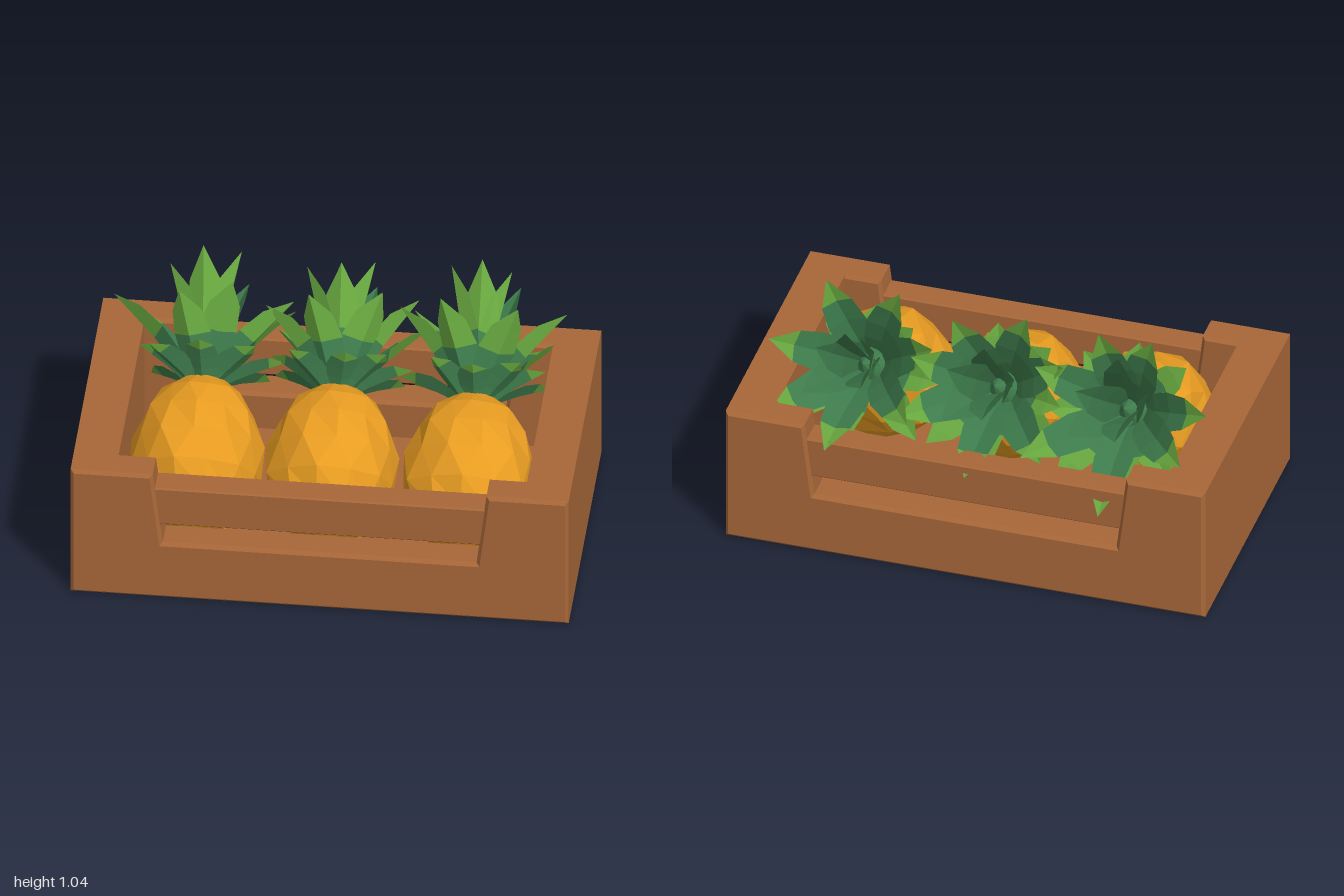
import * as THREE from 'three';

const wood = new THREE.MeshStandardMaterial({ color: 0xa76738 });
wood.name = 'brown wood';
const rind = new THREE.MeshStandardMaterial({ color: 0xec9f22 });
rind.name = 'golden rind';
const darkLeaf = new THREE.MeshStandardMaterial({ color: 0x3e7c4c });
darkLeaf.name = 'dark leaf green';
const lightLeaf = new THREE.MeshStandardMaterial({ color: 0x66a53e });
lightLeaf.name = 'light leaf green';

function add(parent, name, geometry, material, x = 0, y = 0, z = 0) {
  const mesh = new THREE.Mesh(geometry, material);
  mesh.name = name;
  mesh.position.set(x, y, z);
  parent.add(mesh);
  return mesh;
}

// Unshared corners give every facet its own flat normal
function facets(points) {
  const g = new THREE.BufferGeometry().setFromPoints(points);
  g.computeVertexNormals();
  return g;
}

function bevelled(corners, thickness, bevel) {
  const shape = new THREE.Shape(corners.map(([x, y]) => new THREE.Vector2(x, y)));
  const g = new THREE.ExtrudeGeometry(shape, {
    depth: thickness - 2 * bevel, bevelThickness: bevel, bevelSize: bevel,
    bevelOffset: -bevel, bevelSegments: 1,
  });
  return g.translate(0, 0, -(thickness - 2 * bevel) / 2);
}

function createCrate() {
  const crate = new THREE.Group();
  crate.name = 'crate';
  // End panels with a sloped notch, each bridged by a slat
  const panel = bevelled([[-1, 0], [1, 0], [1, 0.6], [0.67, 0.6], [0.63, 0.27],
    [-0.63, 0.27], [-0.67, 0.6], [-1, 0.6]], 0.14, 0.014);
  const slat = bevelled([[-0.65, 0.355], [0.65, 0.355], [0.67, 0.53], [-0.67, 0.53]], 0.115, 0.006);
  for (const [side, z] of [['front', 0.575], ['back', -0.48]]) {
    add(crate, side + 'Panel', panel, wood, 0, 0, z);
    add(crate, side + 'Slat', slat, wood, 0, 0, z);
  }
  // Solid side walls and floor
  for (const s of [-1, 1]) {
    add(crate, s > 0 ? 'leftWall' : 'rightWall',
      new THREE.BoxGeometry(0.18, 0.6, 1.16), wood, s * 0.91, 0.3, 0.0475);
  }
  add(crate, 'floor', new THREE.BoxGeometry(1.8, 0.1, 1.16), wood, 0, 0.05, 0.0475);
  return crate;
}

// Faceted fruit: straight bands alternate with half-step zigzag bands,
// and every other corner is sunk a little to make the rind knobbly
function fruitGeometry() {
  const rings = [[-0.33, 0], [-0.3, 0.14], [-0.2, 0.22], [-0.08, 0.268],
    [0.05, 0.268], [0.17, 0.225], [0.26, 0.165], [0.31, 0.09], [0.31, 0]];
  const n = 12, pts = [];
  const at = (k, i) => {
    const a = (i + Math.floor(k / 2) / 2) / n * Math.PI * 2;
    const [h, r] = rings[k];
    const knob = (i + k) % 2 ? 0.95 : 1;
    return new THREE.Vector3(Math.sin(a) * r * knob, h, Math.cos(a) * r * knob);
  };
  for (let k = 0; k < rings.length - 1; k++) {
    for (let i = 0; i < n; i++) {
      if (rings[k][1] > 0) pts.push(at(k, i), at(k, i + 1), at(k + 1, i));
      if (rings[k + 1][1] > 0) pts.push(at(k, i + 1), at(k + 1, i + 1), at(k + 1, i));
    }
  }
  return facets(pts);
}

// One curved, folded leaf; appends its facets to the dark and light lists
function addLeaf(dark, light, az, leaf) {
  const up = new THREE.Vector3(0, 1, 0);
  const out = new THREE.Vector3(Math.sin(az), 0, Math.cos(az));
  const side = new THREE.Vector3(Math.cos(az), 0, -Math.sin(az));
  const widths = [0.55, 0.85, 1, 0.8, 0];
  const centre = out.clone().multiplyScalar(leaf.base);
  const rows = widths.map((f, i) => {
    const t = THREE.MathUtils.degToRad(leaf.from + (leaf.to - leaf.from) * i / 4);
    const dir = out.clone().multiplyScalar(Math.sin(t)).addScaledVector(up, Math.cos(t));
    const n = out.clone().multiplyScalar(Math.cos(t)).addScaledVector(up, -Math.sin(t));
    if (i) centre.addScaledVector(dir, leaf.length / 4);
    const w = f * leaf.width;
    const edge = (s) => centre.clone().addScaledVector(side, s * w).addScaledVector(n, -0.3 * w);
    return { l: edge(-1), r: edge(1), inner: centre.clone(), outer: centre.clone().addScaledVector(n, 0.2 * w) };
  });
  for (let i = 0; i < 4; i++) {
    const a = rows[i], b = rows[i + 1];
    const outerList = i < leaf.outerDark ? dark : light;
    const innerList = i < leaf.innerDark ? dark : light;
    const quad = (list, p, q, r, s) => list.push(p, q, r, p, r, s);
    quad(outerList, a.l, a.outer, b.outer, b.l);
    quad(outerList, a.outer, a.r, b.r, b.outer);
    quad(innerList, a.inner, a.l, b.l, b.inner);
    quad(innerList, a.r, a.inner, b.inner, b.r);
  }
}

function createCrown(seed) {
  let state = seed;
  const jitter = (amount) => {
    state = (state * 16807) % 2147483647;
    return (state / 2147483647 * 2 - 1) * amount;
  };
  const tiers = [
    { count: 5, from: 6, to: 22, length: 0.54, width: 0.08, base: 0.02, outerDark: 2, innerDark: 4 },
    { count: 7, from: 26, to: 48, length: 0.49, width: 0.08, base: 0.045, outerDark: 2, innerDark: 3 },
    { count: 8, from: 44, to: 72, length: 0.29, width: 0.068, base: 0.06, outerDark: 3, innerDark: 2 },
  ];
  const dark = [], light = [];
  tiers.forEach((tier, k) => {
    for (let i = 0; i < tier.count; i++) {
      const az = (i + k * 0.5) / tier.count * Math.PI * 2 + jitter(0.18);
      const bend = jitter(7);
      // Leaves on the low rear side grow longer
      const length = tier.length * (1 - 0.13 * k * Math.cos(az) + jitter(0.08));
      addLeaf(dark, light, az, { ...tier, from: tier.from + bend, to: tier.to + bend, length });
    }
  });
  const crown = new THREE.Group();
  crown.name = 'crown';
  add(crown, 'darkLeaves', facets(dark), darkLeaf);
  add(crown, 'lightLeaves', facets(light), lightLeaf);
  // Stem closing the ring of leaf bases
  add(crown, 'stem', new THREE.ConeGeometry(0.1, 0.16, 8), darkLeaf, 0, 0.07, 0);
  return crown;
}

export function createModel() {
  const model = new THREE.Group();
  model.name = 'pineappleCrate';
  model.add(createCrate());
  // Three pineapples leaning back in the crate
  const fruit = fruitGeometry();
  [-0.54, 0, 0.55].forEach((x, i) => {
    const pineapple = new THREE.Group();
    pineapple.name = 'pineapple' + (i + 1);
    pineapple.position.set(x, 0.395, 0.205);
    pineapple.rotation.x = -0.9;
    add(pineapple, 'fruit', fruit, rind).rotation.y = i * 0.13;
    const crown = createCrown(1237 + i * 7919);
    crown.position.y = 0.29;
    crown.rotation.x = -0.06;
    pineapple.add(crown);
    model.add(pineapple);
  });
  return model;
}
